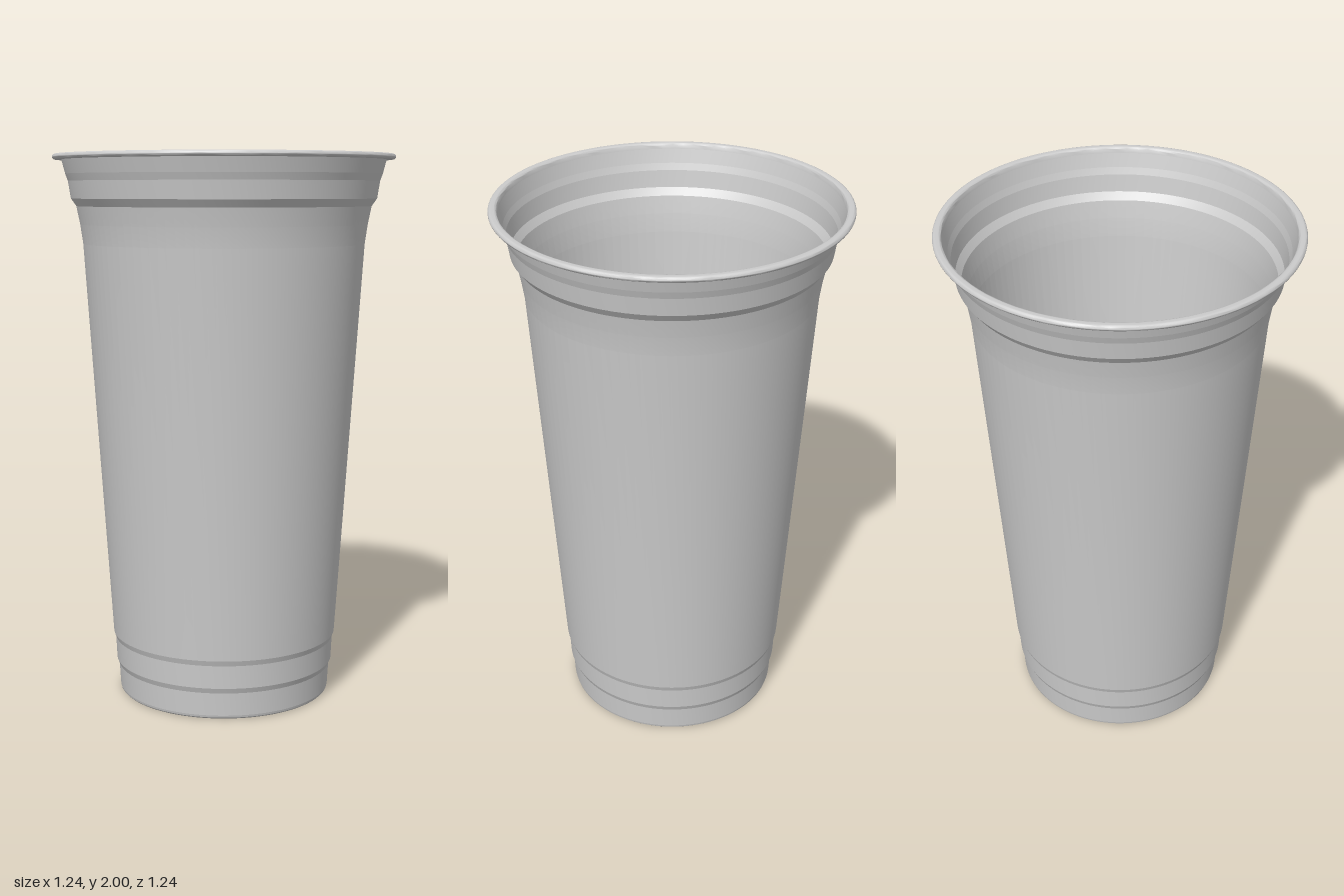
import * as THREE from 'three';
import { toCreasedNormals } from 'three/addons/utils/BufferGeometryUtils.js';

const SEGMENTS = 96;

export function createModel() {
  const cup = new THREE.Group();
  cup.name = 'cup';
  const material = new THREE.MeshStandardMaterial({ color: 0xcccccc, side: THREE.DoubleSide });

  // Revolve a [radius, height] profile; crease keeps the moulded bands crisp
  function addLathe(name, profile, crease) {
    const points = profile.map(([r, y]) => new THREE.Vector2(r, y));
    let geometry = new THREE.LatheGeometry(points, SEGMENTS);
    if (crease) geometry = toCreasedNormals(geometry, crease);
    const mesh = new THREE.Mesh(geometry, material);
    mesh.name = name;
    cup.add(mesh);
  }

  // Base with a raised centre panel and a rounded foot
  addLathe('base', [
    [0, 0.02], [0.305, 0.02], [0.323, 0], [0.38, 0],
    [0.388, 0.002], [0.393, 0.007], [0.395, 0.015],
  ], 0.5);

  // Tapered thin wall with two stepped rings low down and a flared collar
  addLathe('wall', [
    [0.395, 0.015], [0.4, 0.1], [0.408, 0.12], [0.412, 0.205], [0.419, 0.225],
    [0.513, 1.68], [0.523, 1.75], [0.536, 1.815], [0.555, 1.842],
    [0.565, 1.905], [0.574, 1.93], [0.587, 1.98],
  ], 0.085);

  // Rolled rim, rounded over its inner and outer edges
  const rim = [[0.587, 1.98]];
  for (let i = 0; i <= 6; i++) {
    const a = Math.PI - (i / 6) * Math.PI / 2;
    rim.push([0.599 + 0.01 * Math.cos(a), 1.99 + 0.01 * Math.sin(a)]);
  }
  for (let i = 0; i <= 12; i++) {
    const a = Math.PI / 2 - (i / 12) * Math.PI;
    rim.push([0.61 + 0.01 * Math.cos(a), 1.99 + 0.01 * Math.sin(a)]);
  }
  rim.push([0.587, 1.98]);
  // Reversed so that the rim's faces point outward
  addLathe('rim', rim.reverse(), 0.6);

  return cup;
}
